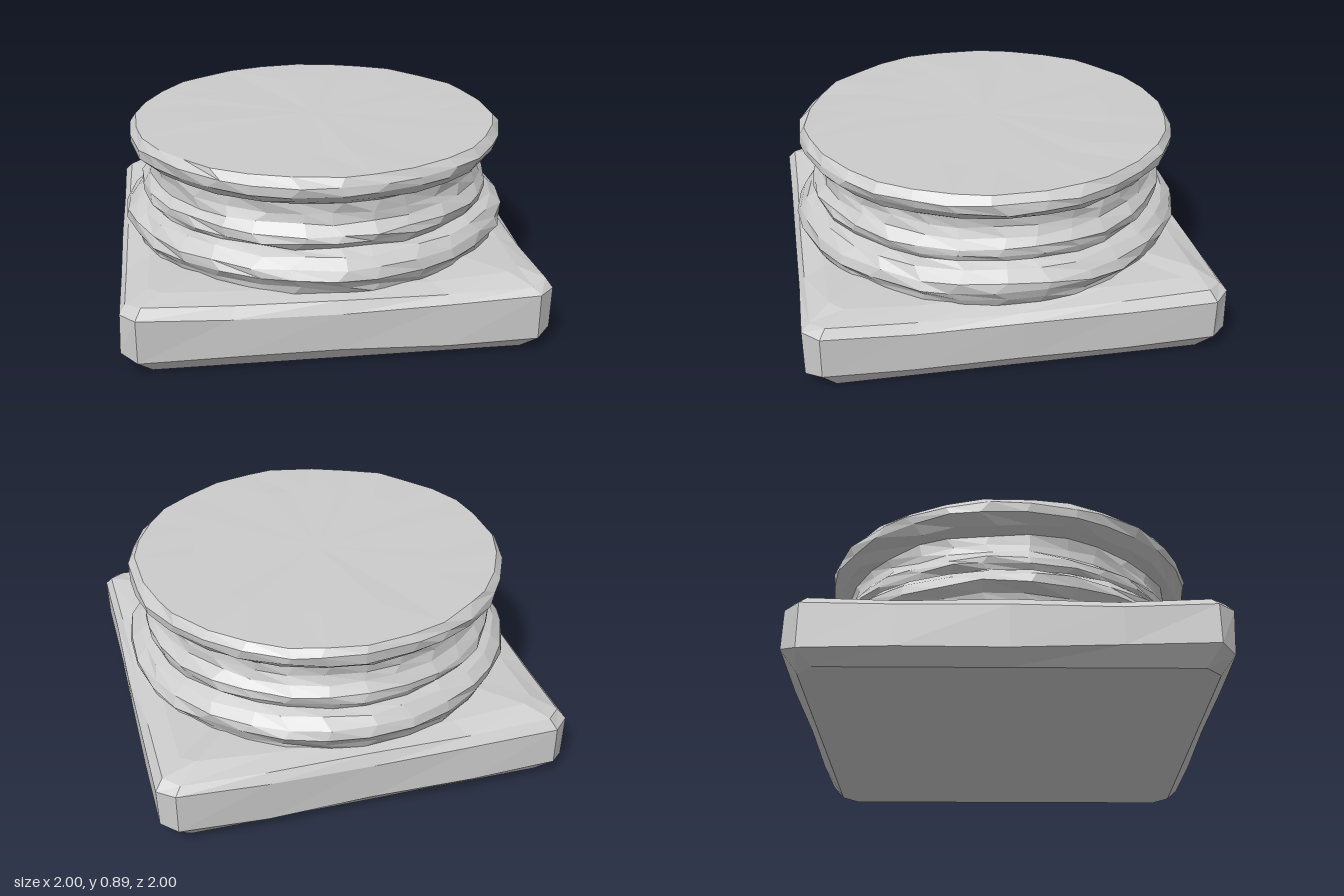
import * as THREE from 'three';
import { mergeVertices } from 'three/addons/utils/BufferGeometryUtils.js';

const material = new THREE.MeshStandardMaterial({ color: 0xcccccc, flatShading: true });

// Small seeded generator, returns -1..1
function seeded(seed) {
  let s = seed;
  return () => {
    s = (s * 16807) % 2147483647;
    return (s / 2147483647) * 2 - 1;
  };
}

// Worn square slab: chamfered square rings stacked upwards, closed at both ends
function plinthGeometry() {
  const rand = seeded(71);
  const along = [-0.92, -0.5, 0, 0.5, 0.92];
  // inset from the side, height
  const layers = [[0.07, 0], [0.0, 0.075], [0.0, 0.27], [0.03, 0.315], [0.13, 0.345]];
  const count = along.length * 4;
  const pos = [];
  const index = [];

  layers.forEach(([inset, height], level) => {
    for (let side = 0; side < 4; side++) {
      const angle = side * Math.PI / 2;
      for (const t of along) {
        const corner = Math.abs(t) > 0.9;
        const wear = level === 0 ? 0 : 0.012 * Math.abs(rand());
        const out = 1 - inset - wear;
        const u = t * (1 - inset);
        // upper edges sag between the raised corners
        let y = height;
        if (level === 1) y += 0.02 * rand();
        if (level > 1) y += (corner ? 0.012 : -0.005) + 0.01 * rand();
        pos.push(out * Math.sin(angle) + u * Math.cos(angle), y,
          out * Math.cos(angle) - u * Math.sin(angle));
      }
    }
  });
  for (let l = 0; l < layers.length - 1; l++) {
    for (let i = 0; i < count; i++) {
      const a = l * count + i;
      const b = l * count + (i + 1) % count;
      index.push(a, b, b + count, a, b + count, a + count);
    }
  }
  const bottom = pos.length / 3;
  pos.push(0, 0, 0, 0, 0.36, 0);
  const top = (layers.length - 1) * count;
  for (let i = 0; i < count; i++) {
    const j = (i + 1) % count;
    index.push(bottom, j, i, bottom + 1, top + i, top + j);
  }
  const geometry = new THREE.BufferGeometry();
  geometry.setAttribute('position', new THREE.Float32BufferAttribute(pos, 3));
  geometry.setIndex(index);
  geometry.computeVertexNormals();
  return geometry;
}

// Turned moulding with chipped, slightly uneven facets
function mouldingGeometry(profile, segments, seed) {
  const rand = seeded(seed);
  let geometry = new THREE.LatheGeometry(
    profile.map(([r, y]) => new THREE.Vector2(r, y)), segments);
  geometry.deleteAttribute('uv');
  geometry.deleteAttribute('normal');
  geometry = mergeVertices(geometry, 1e-4);
  const p = geometry.attributes.position;
  for (let i = 0; i < p.count; i++) {
    const x = p.getX(i), y = p.getY(i), z = p.getZ(i);
    const r = Math.hypot(x, z);
    if (r < 0.01) continue;
    const k = 1 + 0.01 * rand();
    const turn = 0.045 * rand();
    const c = Math.cos(turn) * k, s = Math.sin(turn) * k;
    const lift = y > 0.87 ? 0.003 : 0.008;
    p.setXYZ(i, x * c - z * s, y + lift * rand(), x * s + z * c);
  }
  geometry.computeVertexNormals();
  return geometry;
}

export function createModel() {
  const group = new THREE.Group();
  group.name = 'columnBase';
  const add = (name, geometry) => {
    const mesh = new THREE.Mesh(geometry, material);
    mesh.name = name;
    group.add(mesh);
  };

  add('plinth', plinthGeometry());

  // Lower torus, middle bead, neck and top ring in one continuous profile
  add('moulding', mouldingGeometry([
    [0.92, 0.32], [0.935, 0.365], [0.965, 0.41], [0.955, 0.455], [0.91, 0.5],
    [0.86, 0.52], [0.882, 0.55], [0.88, 0.59], [0.84, 0.633],
    [0.83, 0.68], [0.832, 0.73], [0.88, 0.755], [0.925, 0.8],
    [0.932, 0.845], [0.9, 0.882], [0.62, 0.885], [0, 0.885],
  ], 30, 137));

  return group;
}
